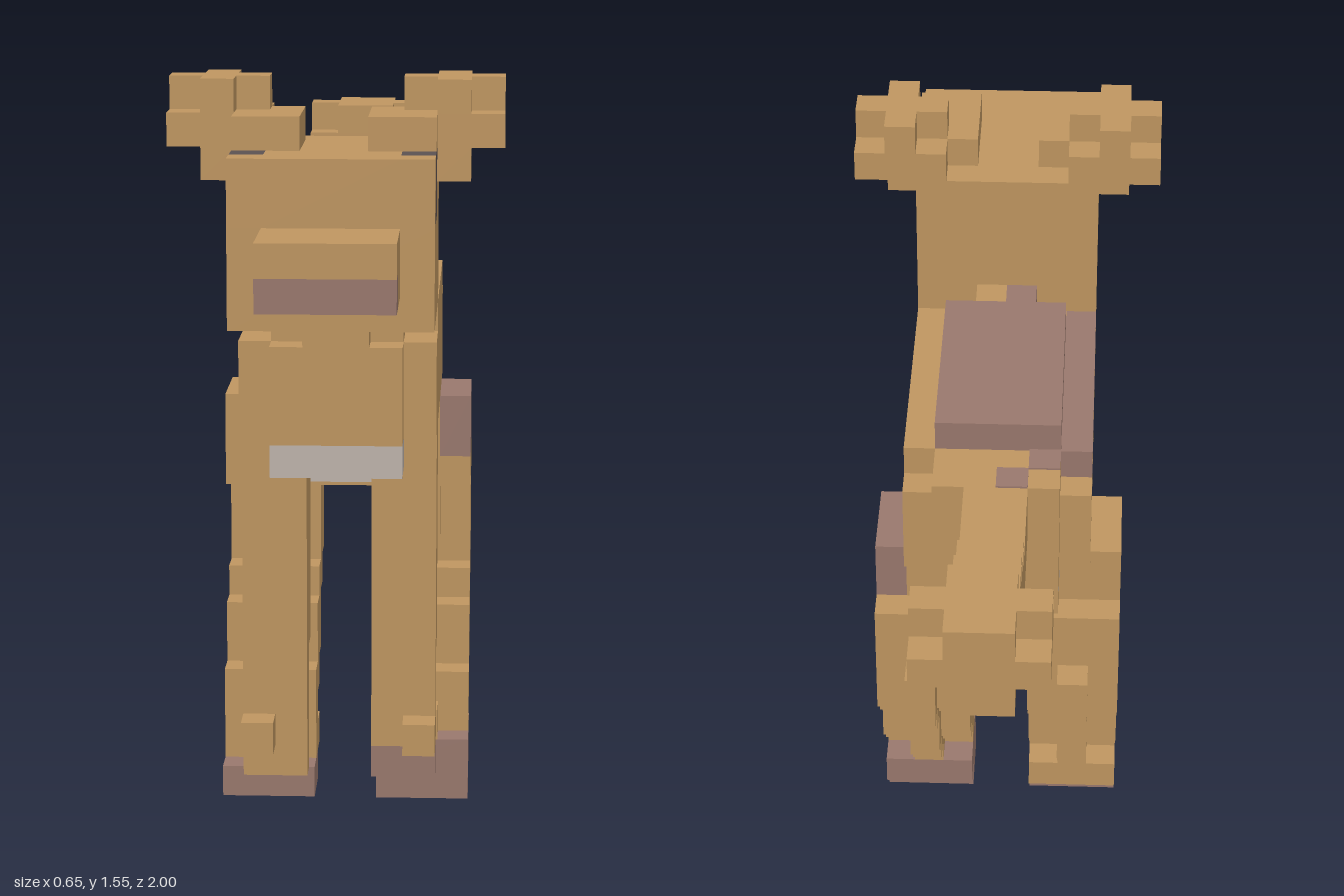
import * as THREE from 'three';

// Everything sits on a block lattice: x centred, y from the floor, k counted backwards from the nose.
const U = 2 / 31;

export function createModel() {
  const model = new THREE.Group();
  const paint = (name, color) => {
    const m = new THREE.MeshStandardMaterial({ color });
    m.name = name;
    return m;
  };
  const tan = paint('tan fur', 0xbf9660);
  const mauve = paint('mauve brown', 0x99786d);
  const pale = paint('pale belly', 0xbfb4ac);
  const dark = paint('dark eye', 0x5b5152);

  function box(name, mat, x0, x1, y0, y1, k0, k1) {
    const geo = new THREE.BoxGeometry((x1 - x0) * U, (y1 - y0) * U, (k1 - k0) * U);
    const mesh = new THREE.Mesh(geo, mat);
    mesh.position.set((x0 + x1) / 2 * U, (y0 + y1) / 2 * U, 1 - (k0 + k1) / 2 * U);
    mesh.name = name;
    model.add(mesh);
  }
  // Box on side s (+1 or -1), given by its distances from the middle
  function side(s, name, mat, x0, x1, ...rest) {
    if (s > 0) box(name, mat, x0, x1, ...rest);
    else box(name, mat, -x1, -x0, ...rest);
  }

  // Snout
  box('snoutTop', tan, -2, 2, 19, 20, 0, 3);
  box('snoutBottom', tan, -2, 2, 18, 19, 1, 3);
  box('mouth', mauve, -2, 2, 18, 19, 0, 1);

  // Head
  box('headLower', tan, -3, 3, 17, 20, 3, 9);
  box('headUpper', tan, -2, 2, 20, 22, 3, 9);

  // Torso
  box('torso', tan, -3, 3, 13, 16, 7, 18);
  box('torsoCore', tan, -2, 2, 13, 17, 7, 18);
  box('chest', tan, -2, 2, 13, 16, 6, 7);
  box('throat', tan, -1, 1, 16, 17, 6, 7);
  box('rump', tan, -2, 2, 12, 17, 18, 19);
  box('leftShoulder', tan, 2, 3, 16, 17, 9, 17);
  box('rightShoulderStripe', mauve, -3, -2, 16, 17, 9, 17);
  box('backPatch', mauve, -2, 2, 17, 18, 10, 17);
  box('napeLeft', tan, 0, 1, 17, 18, 9, 10);
  box('napeRight', mauve, -1, 0, 17, 18, 9, 10);
  box('rumpSpot', mauve, -2, -1, 17, 17.06, 17, 18);
  box('tailSpot', mauve, -1, 0, 17, 17.06, 18, 19);

  // Belly
  box('bellyFront', pale, -2, 2, 12, 13, 6, 13);
  box('bellyLow', pale, -1, 1, 11, 12, 10, 13);
  box('bellyBack', tan, -2, 2, 12, 13, 13, 17);
  box('bellyRear', pale, -2, 2, 12, 13, 17, 18);
  box('groin', tan, -1, 1, 11, 12, 13, 17);
  box('groinLow', tan, -1, 1, 10, 11, 14, 17);

  // Hind leg slabs: y range, full depth (core), depth of the wider outer part
  const slabs = [
    [10, 11, 14, 18, 14, 18], [9, 10, 15, 18, 16, 18], [8, 9, 15, 19, 16, 18],
    [7, 8, 16, 19, 16, 18], [6, 7, 15, 18, 15, 17], [4, 6, 14, 17, 14, 16],
    [3, 4, 13, 16, 13, 15], [2, 3, 12, 15, 13, 14],
  ];

  for (const s of [1, -1]) {
    const left = s > 0;
    // Eyes set into the sides of the head
    side(s, 'cheek', tan, 2, 3, 20, 22, 3, 4);
    side(s, 'eye', dark, 2, 3, 20, 22, 4, 6);
    side(s, 'temple', tan, 2, 3, 20, 22, 6, 9);

    // Ears
    side(s, 'earBase', tan, 1, 3, 22, 23, 5, 8);
    side(s, 'earMiddle', tan, 2, 5, 22, 23, 6, 9);
    side(s, 'earTopAcross', tan, 2, 5, 23, 24, 7, 8);
    side(s, 'earTopAlong', tan, 3, 4, 23, 24, 6, 9);
    side(s, 'earLobe', tan, 3, 4, 21, 22, 6, 8);

    // Front legs
    side(s, 'frontLegUpper', tan, 1, 3, 6, 13, 8, 10);
    side(s, 'frontLegLower', tan, 1, 3, 3, 6, 8, 9);
    side(s, 'frontFoot', left ? mauve : tan, 1, 3, 2, 3, 8, 9);
    side(s, 'frontToe', tan, 2, 3, 3, 4, 7, 8);

    // Hind legs
    side(s, 'thighOuter', left ? mauve : tan, 3, 4, 11, 13, 14, 17);
    side(s, 'thighInner', tan, 1, 3, 11, 13, 14, 17);
    for (const [y0, y1, a, b, c, d] of slabs) {
      side(s, 'hindLegCore', tan, 2, 3, y0, y1, a, b);
      side(s, 'hindLegOuter', tan, 1, 4, y0, y1, c, d);
    }
    if (left) side(s, 'hindAnkle', mauve, 1, 4, 1, 2, 12, 15);
    else side(s, 'hindAnkle', tan, 1, 4, 1, 2, 13, 15);
    side(s, 'hindFoot', mauve, 1, 4, 0, 1, 12, 14);
  }

  // Tail, rising in steps to a knobbly tip
  box('tailBase', tan, -1, 1, 15, 17, 19, 23);
  box('tailMiddle', tan, -1, 1, 16, 18, 23, 26);
  box('tailEnd', tan, -1, 1, 17, 19, 25, 28);
  box('tailTipBottom', tan, -1, 1, 18, 19, 28, 31);
  box('tailTipMiddle', tan, -2, 2, 19, 20, 28, 31);
  box('tailTipTopAlong', tan, -1, 1, 20, 21, 28, 31);
  box('tailTipTopAcross', tan, -2, 2, 20, 21, 29, 30);

  return model;
}
